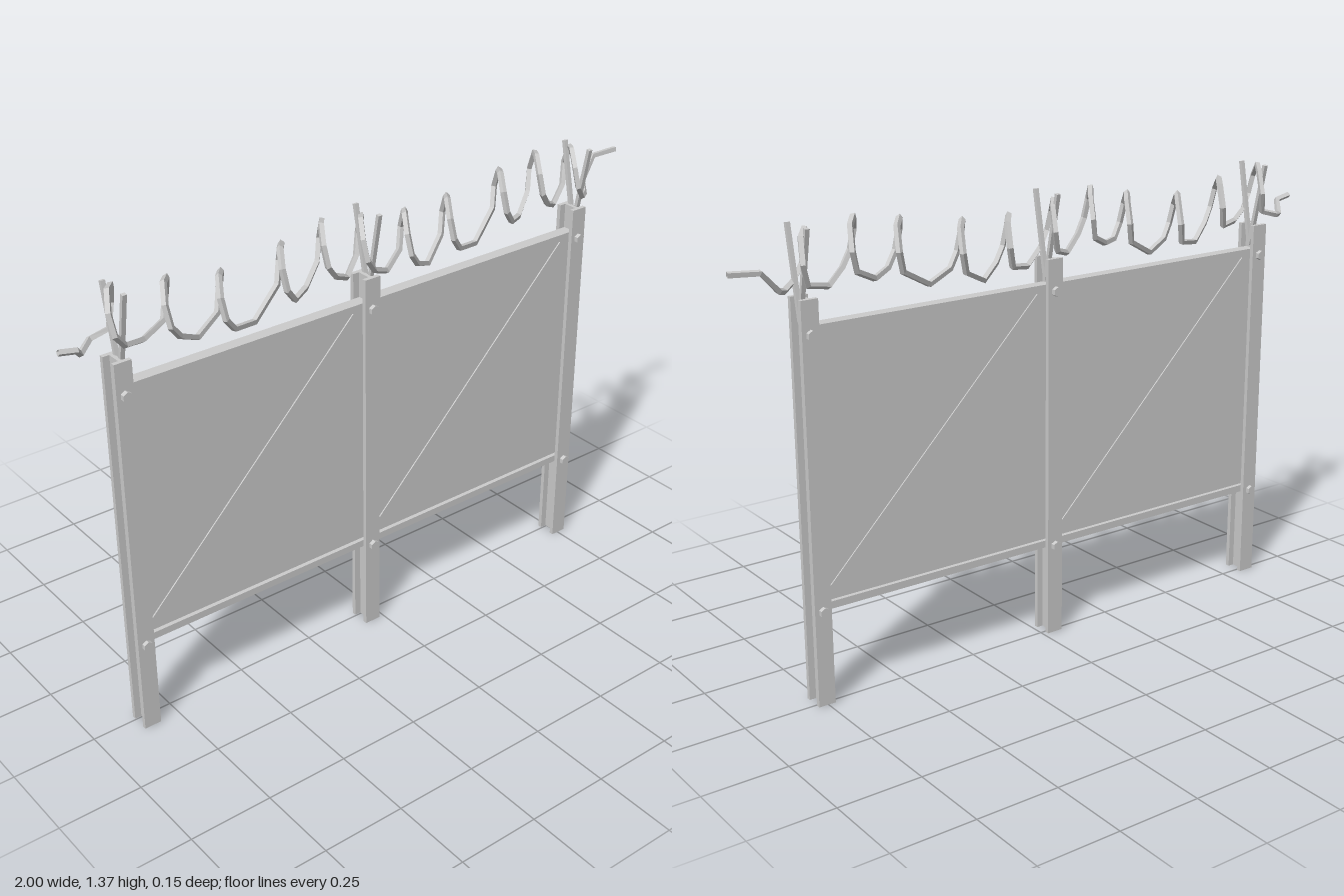
import * as THREE from 'three';

const MID_Z = 0.017;
const POSTS = [-0.837, -0.041, 0.753];

export function createModel() {
  const group = new THREE.Group();
  const grey = new THREE.MeshStandardMaterial({ color: 0xcccccc, flatShading: true });
  const greyThin = new THREE.MeshStandardMaterial({ color: 0xcccccc, flatShading: true, side: THREE.DoubleSide });

  const add = (name, geometry, x, y, z, parent = group, material = grey) => {
    const mesh = new THREE.Mesh(geometry, material);
    mesh.name = name;
    mesh.position.set(x, y, z);
    parent.add(mesh);
    return mesh;
  };

  // I-beam cross-section, extruded upward
  const w = 0.026, web = 0.006, d = 0.034, f = 0.021;
  const half = [[w, -d], [w, -f], [web, -f], [web, f], [w, f], [w, d]];
  const outline = [...half, ...half.map(([x, y]) => [-x, -y])];
  const beam = new THREE.ExtrudeGeometry(
    new THREE.Shape(outline.map(([x, y]) => new THREE.Vector2(x, y))),
    { depth: 1.165, bevelEnabled: false }
  ).rotateX(-Math.PI / 2);

  const bolt = new THREE.CylinderGeometry(0.015, 0.015, 0.014, 6).rotateX(Math.PI / 2);
  const armStart = new THREE.Vector3(0, 1.1, 0.017);

  // Posts with bolts and a V of wire-holding arms
  for (const x of POSTS) {
    const post = new THREE.Group();
    post.name = 'post';
    post.position.x = x;
    group.add(post);
    add('beam', beam, 0, 0, MID_Z, post);
    for (const y of [0.285, 1.07])
      for (const side of [-1, 1])
        add('bolt', bolt, 0, y, MID_Z + side * (d + 0.006), post);
    for (const side of [-1, 1]) {
      const tip = new THREE.Vector3(0, 1.355, 0.014 + side * 0.052);
      const dir = tip.clone().sub(armStart);
      const arm = add('wireArm', new THREE.BoxGeometry(0.013, dir.length(), 0.011),
        0.01, (tip.y + armStart.y) / 2, (tip.z + armStart.z) / 2, post);
      arm.rotation.x = Math.atan2(dir.z, dir.y);
    }
  }

  // Panel bays: sheet, top and bottom rails, one diagonal brace per face
  for (let i = 0; i < 2; i++) {
    const x0 = POSTS[i] + web, x1 = POSTS[i + 1] - web;
    const cx = (x0 + x1) / 2, width = x1 - x0;
    add('panel', new THREE.BoxGeometry(width, 0.79, 0.012), cx, 0.685, MID_Z);
    for (const y of [0.29, 1.079])
      add('rail', new THREE.BoxGeometry(width, 0.022, 0.038), cx, y, MID_Z);
    const run = width - 0.06, rise = 0.735;
    for (const side of [-1, 1]) {
      const brace = add('diagonalBrace',
        new THREE.BoxGeometry(Math.hypot(run, rise), 0.032, 0.006), cx, 0.685, MID_Z + side * 0.007);
      brace.rotation.z = side * Math.atan2(rise, run);
    }
  }

  // Coiled wire: each entry is loop centre x, loop top y, dip x and dip y after it
  const loops = [
    [-0.83, 1.35, -0.75, 1.185], [-0.67, 1.325, -0.59, 1.14], [-0.505, 1.295, -0.41, 1.13],
    [-0.31, 1.32, -0.24, 1.18], [-0.175, 1.35, -0.10, 1.17], [-0.04, 1.33, 0.04, 1.15],
    [0.115, 1.305, 0.19, 1.13], [0.27, 1.31, 0.37, 1.145], [0.47, 1.34, 0.54, 1.185],
    [0.61, 1.36, 0.68, 1.185], [0.755, 1.345, 0.81, 1.19]
  ];
  // Offsets around one loop: x, drop below the top, z
  const ring = [
    [0.015, 0.135, -0.045], [0.038, 0.075, -0.066], [0.025, 0.012, -0.035], [-0.012, 0, 0.012],
    [-0.037, 0.04, 0.055], [-0.03, 0.1, 0.066], [0.005, 0.142, 0.05]
  ];
  const points = [[-1, 1.235, 0.03], [-0.95, 1.225, 0.03], [-0.92, 1.19, -0.01], [-0.87, 1.2, -0.05]];
  for (const [x, top, dipX, dipY] of loops) {
    for (const [dx, drop, z] of ring) points.push([x + dx, top - drop, z]);
    points.push([dipX, dipY, 0.01]);
  }
  points.push([0.85, 1.205, -0.04], [0.91, 1.265, -0.06], [0.995, 1.27, -0.05]);
  const path = new THREE.CatmullRomCurve3(points.map((p) => new THREE.Vector3(...p)));
  // Step point by point so the wire keeps its angular bends
  path.getPointAt = path.getPoint;
  path.getTangentAt = path.getTangent;
  add('coiledWire', new THREE.TubeGeometry(path, points.length - 1, 0.0095, 4), 0, 0, 0, group, greyThin);

  return group;
}
